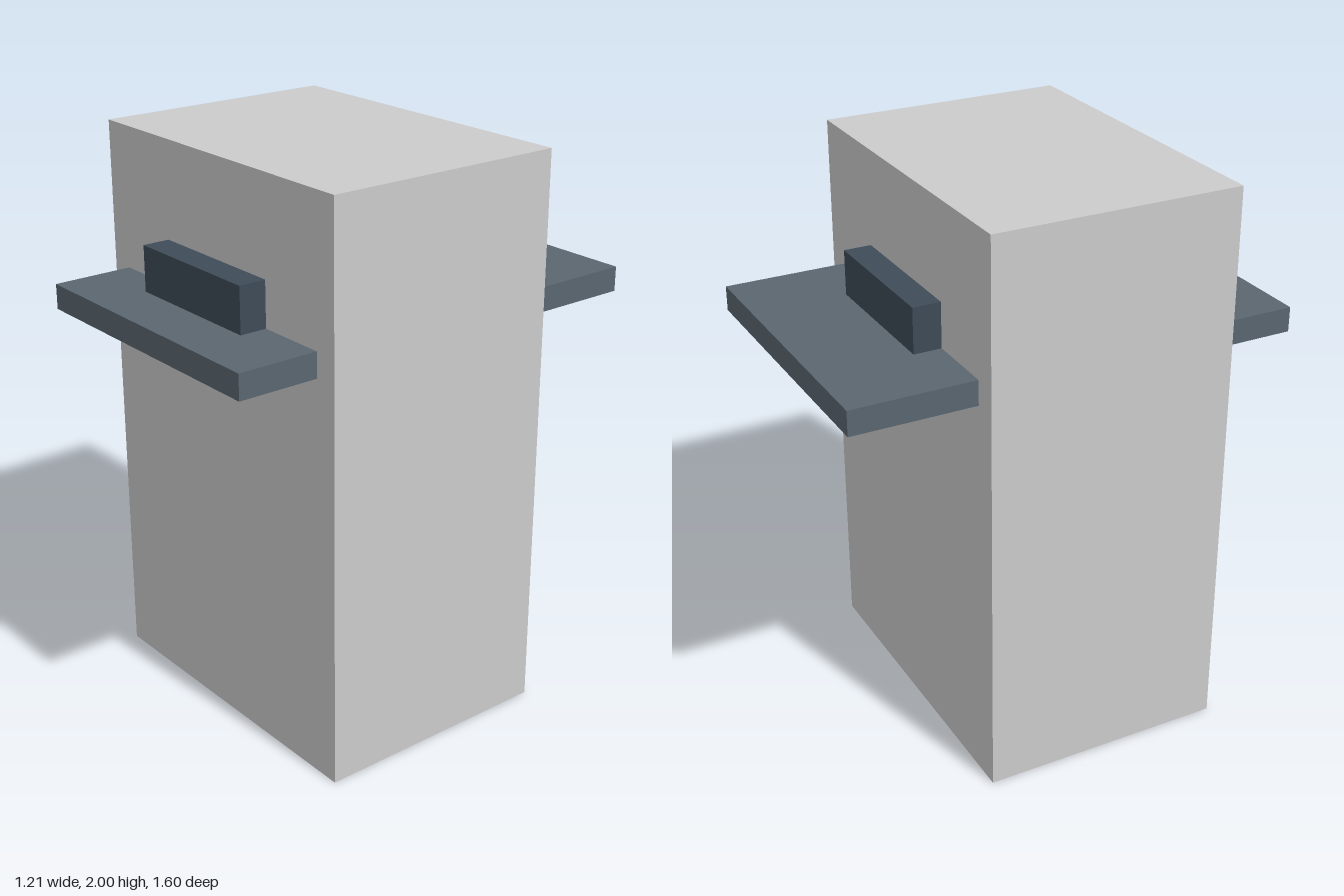
import * as THREE from 'three';

// Box given by its min/max extents on each axis
function slab(name, color, [x0, x1], [y0, y1], [z0, z1]) {
  const mesh = new THREE.Mesh(
    new THREE.BoxGeometry(x1 - x0, y1 - y0, z1 - z0),
    new THREE.MeshStandardMaterial({ color })
  );
  mesh.position.set((x0 + x1) / 2, (y0 + y1) / 2, (z0 + z1) / 2);
  mesh.name = name;
  return mesh;
}

export function createModel() {
  const model = new THREE.Group();
  model.name = 'pillarWithShelf';
  model.add(
    // Tall main block, set slightly forward
    slab('body', 0xcccfcf, [-0.607, 0.607], [0, 2], [-0.365, 0.512]),
    // Flat ledge passing through the body, front to back
    slab('ledge', 0x5a6670, [-0.523, 0.523], [1.412, 1.5], [-0.8, 0.8]),
    // Narrow raised block resting on the ledge, also through the body
    slab('ledgeBlock', 0x3f4b57, [-0.268, 0.268], [1.5, 1.66], [-0.463, 0.609])
  );
  return model;
}
